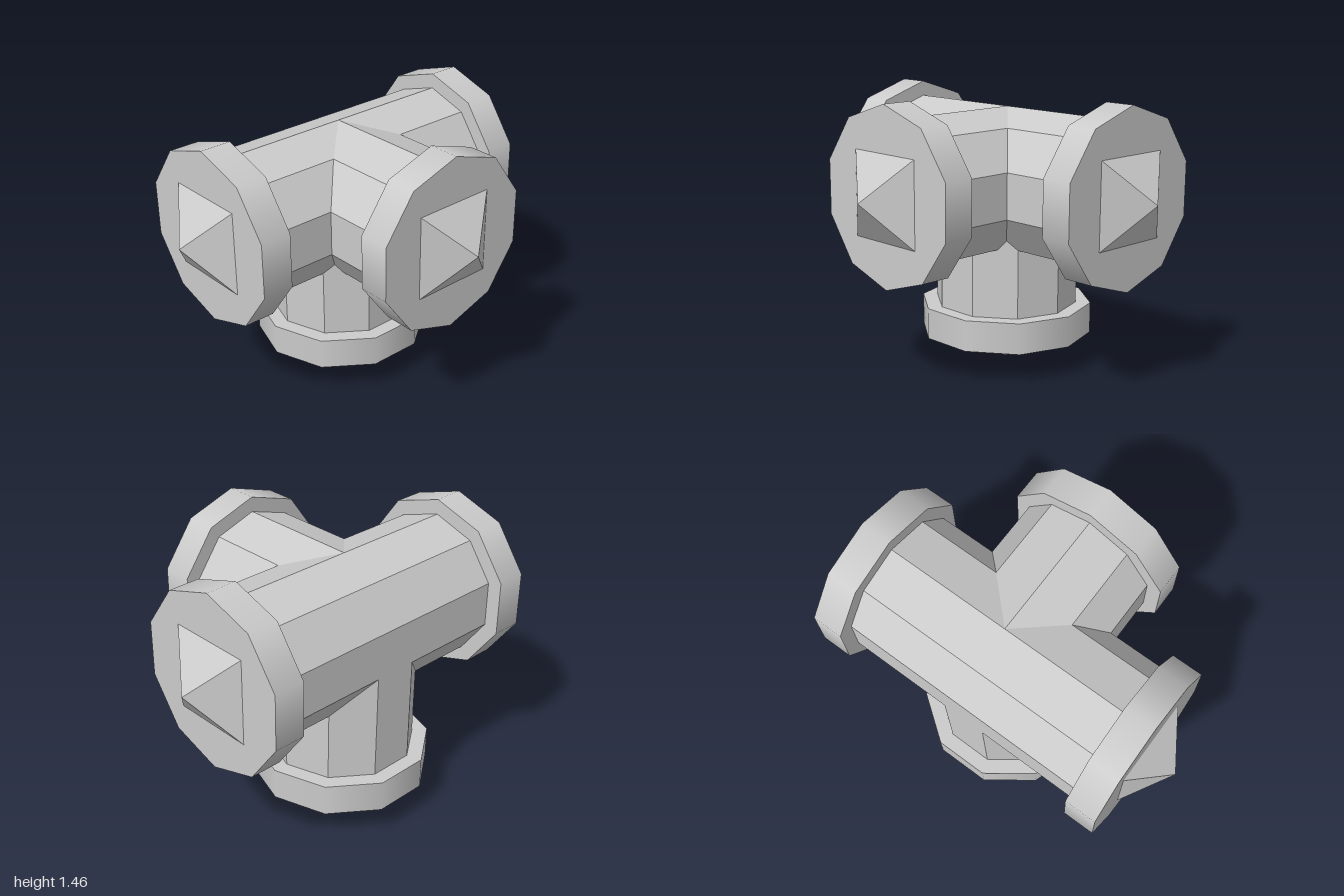
import * as THREE from 'three';

const SIDES = 10;
const PIPE_R = 0.38, FLANGE_R = 0.46;
const PIPE_END = 0.67, FLANGE_END = 0.835, TIP = 1.0;
const SPIKE_HALF = 0.22;

const flat = new THREE.MeshStandardMaterial({ color: 0xcccccc, flatShading: true });
const smooth = new THREE.MeshStandardMaterial({ color: 0xcccccc });

function part(name, geometry, material, from, to) {
  const mesh = new THREE.Mesh(geometry, material);
  mesh.name = name;
  mesh.position.y = (from + to) / 2;
  return mesh;
}

// One arm along local +y: faceted pipe, smooth-rimmed flange, square spike
function makeArm(name, start, tilt, turn) {
  const arm = new THREE.Group();
  arm.name = name;
  const pipe = new THREE.CylinderGeometry(PIPE_R, PIPE_R, PIPE_END - start, SIDES, 1, true);
  const flange = new THREE.CylinderGeometry(FLANGE_R, FLANGE_R, FLANGE_END - PIPE_END, SIDES);
  const spike = new THREE.ConeGeometry(SPIKE_HALF * Math.SQRT2, TIP - FLANGE_END, 4, 1, true);
  spike.rotateY(Math.PI / 4);
  arm.add(
    part('pipe', pipe, flat, start, PIPE_END),
    part('flange', flange, smooth, PIPE_END, FLANGE_END),
    part('spike', spike, flat, FLANGE_END, TIP),
  );
  arm.rotation.set(tilt, turn, 0, 'YXZ');
  return arm;
}

export function createModel() {
  const model = new THREE.Group();
  model.name = 'pipeJunction';
  const q = Math.PI / 2;
  model.add(
    makeArm('leftArm', 0, q, q),
    makeArm('rightArm', 0, q, -q),
    makeArm('frontArm', 0, q, 0),
    // starts where the side pipes' vertical facets end
    makeArm('lowerArm', PIPE_R * Math.cos(Math.PI * 0.4), 2 * q, q),
  );
  // Junction centre sits above the ground and behind the middle
  for (const arm of model.children) arm.position.set(0, 1, -0.281);
  return model;
}
